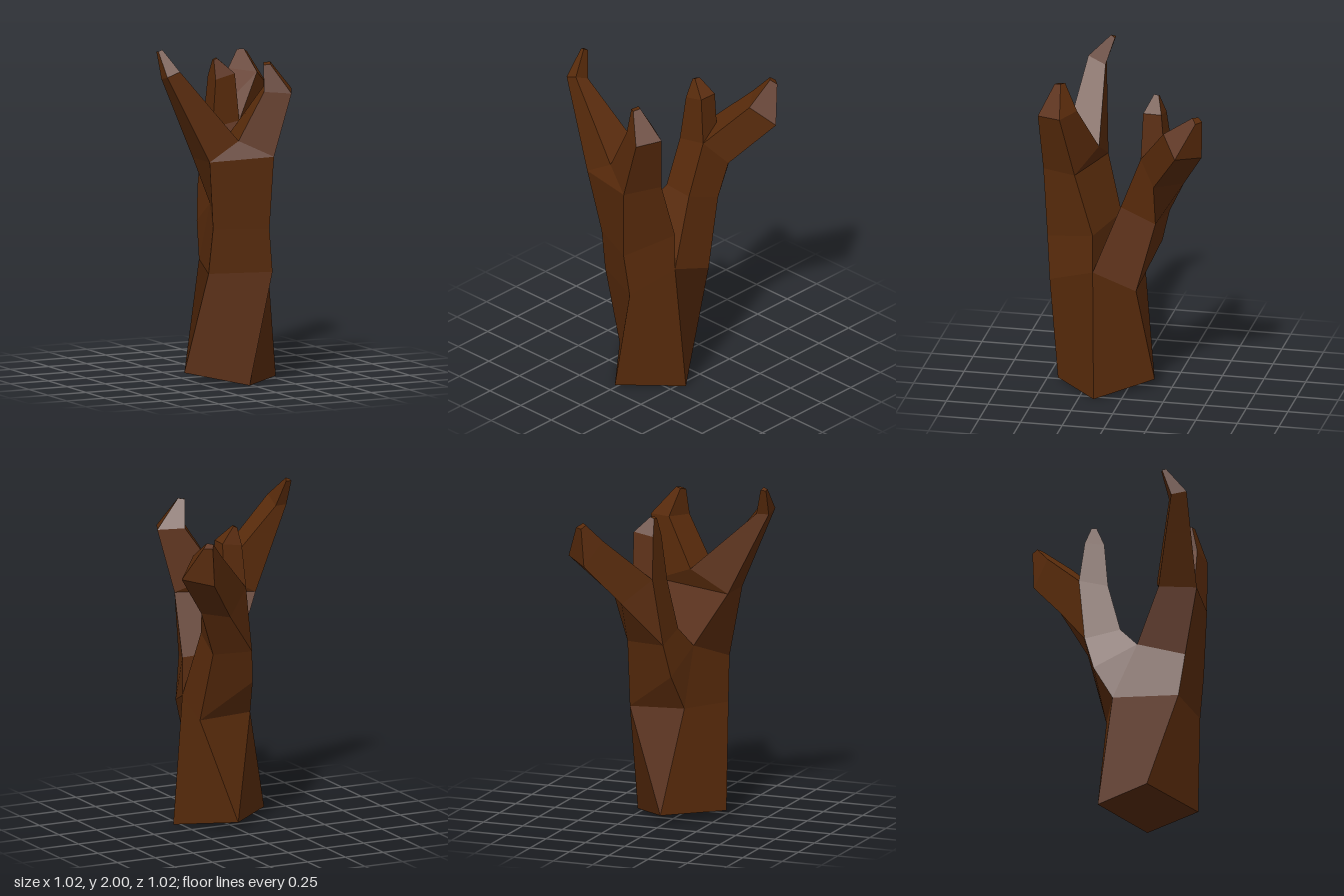
import * as THREE from 'three';

const bark = new THREE.MeshStandardMaterial({ color: 0x592b0b, side: THREE.DoubleSide });

// Faceted mesh from polygons whose corners run counter-clockwise; each polygon gets one normal
function polyMesh(name, polygons) {
  const pos = [], nor = [];
  for (const p of polygons) {
    const v = p.map((q) => new THREE.Vector3(...q));
    const n = new THREE.Vector3();
    v.forEach((q, i) => n.add(q.clone().cross(v[(i + 1) % v.length])));
    n.normalize();
    for (let i = 1; i < p.length - 1; i++) {
      pos.push(...p[0], ...p[i], ...p[i + 1]);
      for (let k = 0; k < 3; k++) nor.push(n.x, n.y, n.z);
    }
  }
  const geo = new THREE.BufferGeometry();
  geo.setAttribute('position', new THREE.Float32BufferAttribute(pos, 3));
  geo.setAttribute('normal', new THREE.Float32BufferAttribute(nor, 3));
  const mesh = new THREE.Mesh(geo, bark);
  mesh.name = name;
  return mesh;
}

// Side walls through a series of four-cornered rings
function walls(...rings) {
  const out = [];
  for (let r = 0; r < rings.length - 1; r++) {
    const a = rings[r], b = rings[r + 1];
    a.forEach((_, i) => {
      const j = (i + 1) % a.length;
      out.push([a[i], a[j], b[j], b[i]]);
    });
  }
  return out;
}

// Branch: walls closed by its last ring
const branch = (name, ...rings) => polyMesh(name, [...walls(...rings), rings[rings.length - 1]]);

export function createModel() {
  const group = new THREE.Group();
  group.name = 'deadTree';

  // Trunk: four corners at the cut base, five where the limbs part
  const bL = [-0.29, 0.05, 0.12], bF = [-0.02, 0, 0.44], bR = [0.29, 0, 0.16], bB = [0.02, 0.05, -0.15];
  const L = [-0.225, 0.66, 0.31], F = [0.12, 0.67, 0.46], R = [0.22, 0.77, 0.18];
  const X = [0.24, 0.68, -0.085], B = [-0.1, 0.69, -0.07];
  group.add(polyMesh('trunk', [
    [bB, bR, bF, bL],
    [bL, bF, F, L], [bF, bR, R, F], [bR, bB, X, R], [bB, B, X], [bL, L, B, bB],
  ]));

  // Front limb, from the main crotch up to its own fork
  const crotch = [-0.1, 1.04, 0.075];
  const f1 = [[-0.215, 0.93, 0.35], [0.09, 0.93, 0.48], [0.22, 1.0, 0.18], crotch];
  const f2 = [[-0.27, 1.34, 0.415], [0.11, 1.36, 0.5], [0.215, 1.37, 0.29], [-0.27, 1.34, 0.19]];
  const forkFront = [-0.08, 1.455, 0.415], forkBack = [-0.03, 1.47, 0.195];
  group.add(polyMesh('frontLimb', [
    [L, F, f1[1], f1[0]], [F, R, f1[2], f1[1]], [R, crotch, f1[2]], [B, L, f1[0], crotch],
    ...walls(f1, f2),
    [f2[0], f2[1], forkFront], [f2[2], f2[3], forkBack],
  ]));

  group.add(branch('frontRightBranch',
    [f2[0], forkFront, forkBack, f2[3]],
    [[-0.51, 1.85, 0.34], [-0.43, 1.88, 0.345], [-0.43, 1.83, 0.242], [-0.505, 1.83, 0.25]],
    [[-0.51, 1.99, 0.22], [-0.485, 2, 0.22], [-0.475, 1.985, 0.195], [-0.51, 1.985, 0.195]]));

  group.add(branch('frontLeftBranch',
    [forkFront, f2[1], f2[2], forkBack],
    [[0.075, 1.74, 0.44], [0.22, 1.73, 0.51], [0.29, 1.74, 0.365], [0.145, 1.75, 0.29]],
    [[0.085, 1.895, 0.41], [0.12, 1.9, 0.43], [0.14, 1.91, 0.39], [0.105, 1.905, 0.37]]));

  // Back limb, bending backward to its fork
  const knee = [-0.06, 0.9, -0.18];
  const [d, a, b, c] = [[-0.04, 1.16, -0.02], [0.18, 1.18, 0.02], [0.21, 1.1, -0.195], [-0.03, 1.1, -0.23]];
  const sFL = [0, 1.46, -0.09], sFR = [0.18, 1.49, -0.1], sBR = [0.16, 1.57, -0.235], sBL = [0.025, 1.5, -0.26];
  const lowR = [0.29, 1.36, -0.2], lowL = [0.18, 1.36, -0.36];
  group.add(polyMesh('backLimb', [
    [R, X, b, a], [X, B, knee], [X, knee, c, b], [B, crotch, knee], [knee, crotch, d, c], [crotch, R, a, d],
    [d, a, sFR, sFL], [a, b, lowR, sFR],
    [b, c, lowL, lowR], [c, d, sFL, sBL], [c, sBL, lowL],
  ]));

  group.add(branch('smallBackBranch',
    [sFL, sFR, sBR, sBL],
    [[0.03, 1.74, -0.11], [0.155, 1.77, -0.11], [0.16, 1.77, -0.22], [0.035, 1.75, -0.225]],
    [[0.04, 1.85, -0.155], [0.06, 1.86, -0.155], [0.07, 1.86, -0.185], [0.045, 1.85, -0.185]]));

  // Large branch springs from the outer side of the fork, below the small one
  const tipRing = [[0.385, 1.74, -0.28], [0.51, 1.63, -0.375], [0.36, 1.6, -0.505], [0.27, 1.75, -0.43]];
  group.add(polyMesh('largeBackBranchRoot', [[sFR, tipRing[0], sBR]]));
  group.add(branch('largeBackBranch',
    [sFR, lowR, lowL, sBL].map((p, i) => (i === 0 ? sFR : p)).slice(0, 3).concat([sBL]),
    tipRing,
    [[0.385, 1.855, -0.455], [0.42, 1.83, -0.48], [0.375, 1.83, -0.512], [0.355, 1.85, -0.485]]));

  return group;
}
